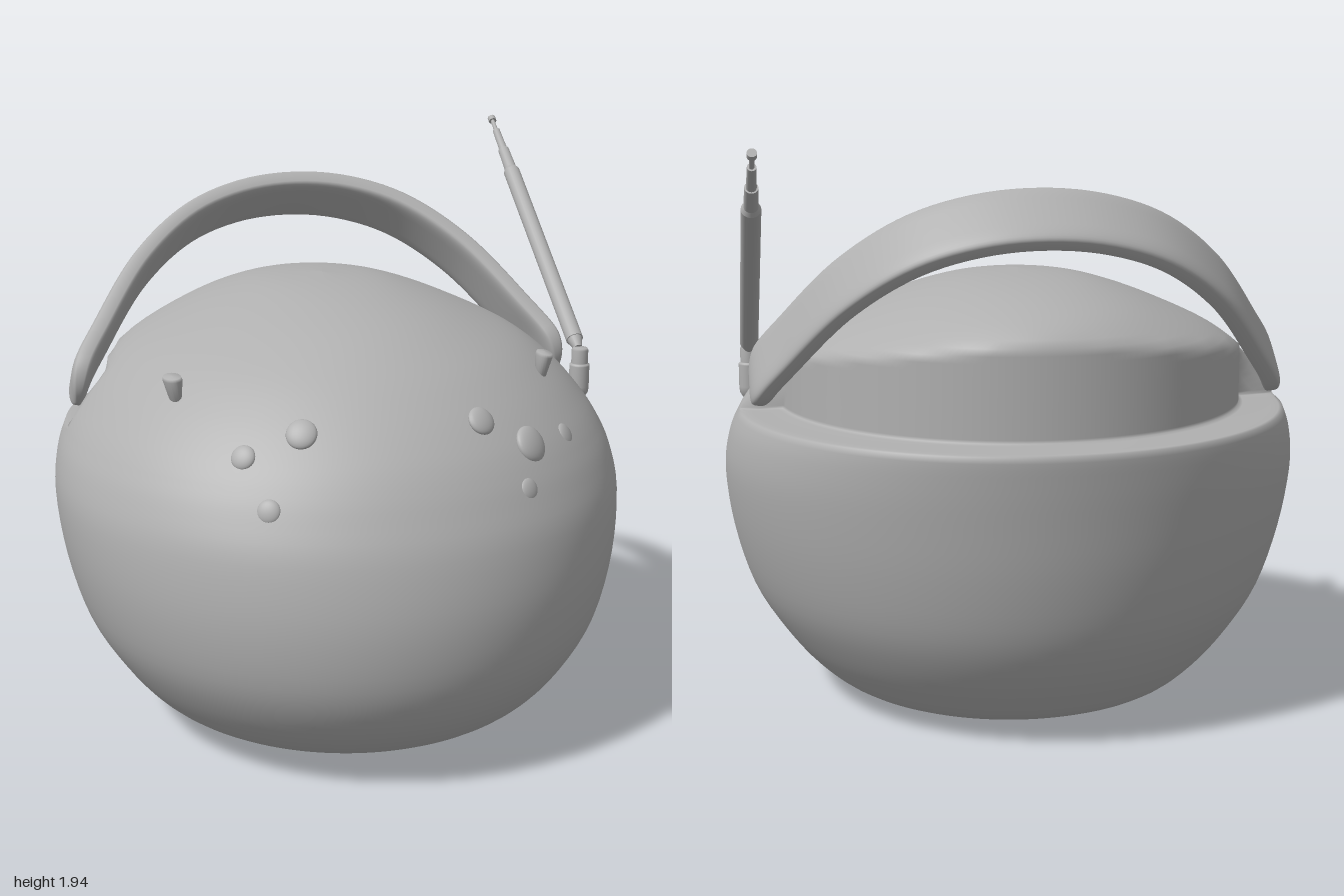
import * as THREE from 'three';

const V = (x, y, z) => new THREE.Vector3(x, y, z);

// Closed rings of equal point count, joined in order into a smooth skin
function loft(rings) {
  const n = rings[0].length, index = [];
  for (let i = 0; i < rings.length - 1; i++) {
    for (let j = 0; j < n; j++) {
      const k = (j + 1) % n;
      const a = i * n + j, b = i * n + k, c = b + n, d = a + n;
      index.push(a, b, c, a, c, d);
    }
  }
  const g = new THREE.BufferGeometry();
  g.setAttribute('position', new THREE.Float32BufferAttribute(rings.flat().flatMap(p => [p.x, p.y, p.z]), 3));
  g.setIndex(index);
  g.computeVertexNormals();
  return g;
}

// Egg-shaped shell with a step cut around the upper back
function bodyGeometry() {
  // height, half width, front z, back z
  const table = [
    [0, 0, 0.03, 0.03], [0, 0.25, 0.28, -0.22], [0.005, 0.46, 0.5, -0.43],
    [0.05, 0.6, 0.67, -0.6], [0.13, 0.71, 0.81, -0.7], [0.25, 0.81, 0.92, -0.8],
    [0.4, 0.9, 0.985, -0.88], [0.6, 0.96, 1, -0.935], [0.8, 0.985, 0.965, -0.97],
    [0.93, 0.97, 0.91, -0.99], [1.02, 0.935, 0.86, -1], [1.1, 0.885, 0.8, -0.99],
    [1.2, 0.8, 0.7, -0.96], [1.3, 0.67, 0.57, -0.88], [1.39, 0.48, 0.4, -0.78],
    [1.45, 0.32, 0.2, -0.62], [1.485, 0.18, 0, -0.42], [1.5, 0, -0.2, -0.2],
  ];
  const spline = f => new THREE.CatmullRomCurve3(table.map(f), false, 'catmullrom', 0.5);
  const frontCurve = spline(([y, w, f]) => V(w, y, f));
  const backCurve = spline(([y, , , b]) => V(0, y, b));
  const last = table.length - 1, ledge = 10;

  // rows: [spline knot, how far the cut is applied]
  const rows = [];
  for (let k = 0; k < last; k++) {
    for (let s = 0; s < 4; s++) {
      rows.push([k + s / 4, k >= ledge && k + s > ledge ? 1 : 0]);
      if (k === ledge && s === 0) rows.push([k + 0.03, 0.08], [k + 0.05, 0.25], [k + 0.07, 0.9], [k + 0.12, 1]);
    }
  }
  rows.push([last, 1]);

  const rings = rows.map(([k, cut]) => {
    const f = frontCurve.getPoint(k / last), back = backCurve.getPoint(k / last).z;
    const mid = (f.z + back) / 2, depth = (f.z - back) / 2;
    return Array.from({ length: 192 }, (_, j) => {
      const t = j / 192 * Math.PI * 2;
      let x = f.x * Math.sin(t), z = mid + depth * Math.cos(t);
      const over = Math.hypot(x / 0.8, z / 0.85);
      if (over > 1) {
        const amount = cut * THREE.MathUtils.smoothstep(-z, 0.1, 0.17);
        const s = THREE.MathUtils.lerp(1, 1 / over, amount);
        x *= s;
        z *= s;
      }
      return V(x, Math.max(f.y, 0), z);
    });
  });
  return loft(rings);
}

// Flat band arching in a plane that leans backward
function handleGeometry() {
  const up = V(0, 0.77, -0.64).normalize(), across = V(0, 0.64, 0.77).normalize();
  const half = [[0.885, -0.04], [0.86, 0.06], [0.78, 0.2], [0.6, 0.47], [0.4, 0.65], [0.2, 0.735]];
  const arc = [...half, [0, 0.76], ...half.map(([x, u]) => [-x, u]).reverse()];
  const path = new THREE.CatmullRomCurve3(arc.map(([x, u]) => V(x, 1.12, -0.2).addScaledVector(up, u)));
  const rings = [], steps = 96, cap = 0.05;
  for (let i = 0; i <= steps; i++) {
    // ease the steps toward both rounded ends
    const t = (1 - Math.cos(i / steps * Math.PI)) / 2;
    const p = path.getPointAt(t), normal = across.clone().cross(path.getTangentAt(t)).normalize();
    const e = Math.min(1, Math.min(t, 1 - t) / cap);
    const round = Math.sqrt(Math.max(0, 1 - (1 - e) ** 2));
    const soft = v => Math.sign(v) * Math.abs(v) ** 0.45;
    rings.push(Array.from({ length: 32 }, (_, j) => {
      const a = j / 32 * Math.PI * 2;
      return p.clone()
        .addScaledVector(normal, soft(Math.cos(a)) * 0.036 * round)
        .addScaledVector(across, soft(Math.sin(a)) * 0.118 * round);
    }));
  }
  return loft(rings);
}

export function createModel() {
  const group = new THREE.Group();
  const grey = new THREE.MeshStandardMaterial({ color: 0xb0b0b0 });
  grey.name = 'plain grey';
  const add = (name, geometry, parent = group) => {
    const mesh = new THREE.Mesh(geometry, grey);
    mesh.name = name;
    parent.add(mesh);
    return mesh;
  };

  add('body', bodyGeometry());
  add('handle', handleGeometry());

  // Round flattened studs on the front
  const studs = [
    [-0.48, 1.1, 0.66, 0.04], [-0.3, 1.17, 0.69, 0.05], [-0.43, 0.96, 0.79, 0.038],
    [0.29, 1.17, 0.69, 0.048], [0.46, 1.08, 0.69, 0.062], [0.63, 1.06, 0.56, 0.043], [0.42, 0.96, 0.79, 0.038],
  ];
  for (const [x, y, z, r] of studs) {
    const stud = add('stud', new THREE.SphereGeometry(r, 24, 16));
    stud.position.set(x, y, z);
    stud.lookAt(x * 2, y + (y - 0.6), z * 2);
    stud.scale.z = 0.4;
  }

  // Small pegs on the shoulders
  for (const side of [-1, 1]) {
    const profile = [[0, -0.05], [0.03, -0.05], [0.05, 0.025], [0.045, 0.035], [0, 0.038]];
    const peg = add('peg', new THREE.LatheGeometry(profile.map(([r, y]) => new THREE.Vector2(r, y)), 24));
    peg.position.set(side * 0.635, 1.255, 0.33);
    peg.rotation.set(0, -side * 0.2, -side * 0.15);
    peg.scale.x = 0.58;
  }

  // Antenna socket
  const turned = points => new THREE.LatheGeometry(points.map(([r, y]) => new THREE.Vector2(r, y)), 24);
  const socket = add('antennaSocket', turned([
    [0, 0], [0.02, 0.006], [0.034, 0.03], [0.036, 0.05], [0.036, 0.125], [0.036, 0.13],
    [0.03, 0.133], [0.03, 0.135], [0.03, 0.182], [0.026, 0.19], [0, 0.192],
  ]));
  socket.position.set(0.895, 1.03, 0.03);

  // Telescopic antenna leaning backward
  const antenna = new THREE.Group();
  antenna.name = 'antenna';
  antenna.position.set(0.895, 1.215, 0.01);
  antenna.quaternion.setFromUnitVectors(V(0, 1, 0), V(0, 0.715, -0.97).normalize());
  group.add(antenna);
  // start, end, radius at start, radius at end
  const sections = [
    [0, 0.04, 0.016, 0.028], [0.04, 0.9, 0.031, 0.031], [0.9, 0.915, 0.031, 0.023],
    [0.91, 1.02, 0.023, 0.021], [1.02, 1.13, 0.016, 0.014], [1.13, 1.195, 0.008, 0.008], [1.185, 1.205, 0.015, 0.015],
  ];
  for (const [from, to, r0, r1] of sections) {
    add('antennaSection', new THREE.CylinderGeometry(r1, r0, to - from, 20), antenna).position.y = (from + to) / 2;
  }
  return group;
}
